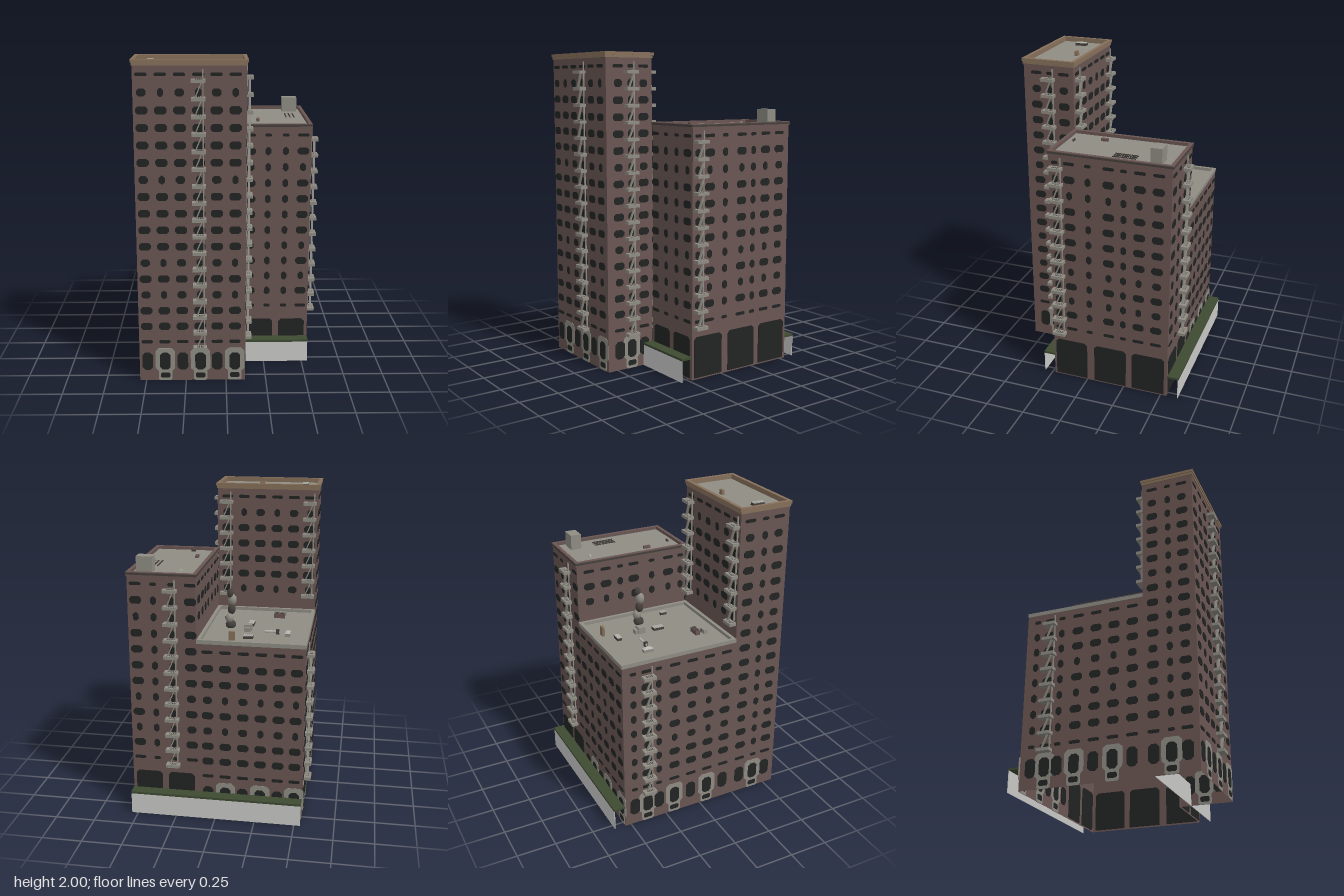
import * as THREE from 'three';
import { mergeGeometries } from 'three/addons/utils/BufferGeometryUtils.js';

const mat = (name, color, side = THREE.FrontSide) => {
  const m = new THREE.MeshStandardMaterial({ color, side });
  m.name = name;
  return m;
};

export function createModel() {
  const M = {
    brick: mat('brick', 0x6a5653, THREE.DoubleSide),
    stone: mat('stone grey', 0x8e8c83, THREE.DoubleSide),
    glass: mat('dark glass', 0x222424),
    tan: mat('tan cornice', 0x87705a),
    hedge: mat('hedge green', 0x3e4a32),
    white: mat('pale wall', 0xc9c9c8),
    trim: mat('dark trim', 0x45403d),
    metal: mat('light metal', 0xb4b4ae),
  };
  const model = new THREE.Group();
  model.name = 'towerBlock';

  const add = (parent, name, geo, material, x = 0, y = 0, z = 0) => {
    const m = new THREE.Mesh(geo, material);
    m.name = name;
    m.position.set(x, y, z);
    parent.add(m);
    return m;
  };
  const box = (parent, name, material, w, h, d, x, y, z) =>
    add(parent, name, new THREE.BoxGeometry(w, h, d), material, x, y, z);

  // Thin plate with cut corners, straddling the wall so it shows inside too
  const plate = (x, y, w, h, cut, t = 0.008, cutBottom = cut) => {
    const a = w / 2, b = h / 2, c = cut, e = cutBottom;
    const s = new THREE.Shape([[-a + e, -b], [a - e, -b], [a, -b + e], [a, b - c], [a - c, b], [-a + c, b], [-a, b - c], [-a, -b + e]]
      .map(p => new THREE.Vector2(...p)));
    return new THREE.ExtrudeGeometry(s, { depth: t, bevelEnabled: false }).translate(x, y, -t / 2);
  };

  const rowY = i => 0.365 + 0.1033 * i;
  const narrowRows = [2, 4, 9, 14];

  // One wall: local x runs along it, local z points outward
  const TURN = { front: 0, right: Math.PI / 2, back: Math.PI, left: -Math.PI / 2 };
  function wall(name, side, at, u0, u1, y0, y1, o = {}) {
    const g = new THREE.Group();
    g.name = name;
    g.rotation.y = TURN[side];
    const alongX = side === 'front' || side === 'back';
    g.position[alongX ? 'z' : 'x'] = at;
    const f = side === 'right' || side === 'back' ? -1 : 1;
    add(g, 'brickwork', new THREE.PlaneGeometry(u1 - u0, y1 - y0), M.brick, f * (u0 + u1) / 2, (y0 + y1) / 2, 0);

    const glass = [], stone = [];
    const cols = o.cols || [], narrow = o.narrow || [];
    // storeys of windows, with a slim band of vents above and below
    for (let i = o.first; i <= o.last; i++) cols.forEach((c, k) => {
      const slim = narrow.includes(k) || (narrowRows.includes(i) && k % 2 === 1);
      glass.push(plate(f * c, rowY(i), slim ? 0.036 : narrowRows.includes(i) ? 0.055 : 0.072, slim ? 0.052 : 0.046, 0.013));
    });
    (o.vents || []).forEach(y => cols.forEach((c, k) =>
      glass.push(plate(f * c, y, narrow.includes(k) ? 0.04 : 0.07, 0.02, 0.006))));
    // arched ground floor with stone surrounds
    if (o.arcade) cols.forEach((c, k) => {
      glass.push(plate(f * c, 0.13, 0.066, 0.115, 0.018));
      if (k % 2) {
        stone.push(plate(f * c, 0.14, 0.122, 0.155, 0.02, 0.005));
        stone.push(plate(f * c, 0.035, 0.085, 0.07, 0.01, 0.005));
        glass.push(plate(f * c, 0.035, 0.06, 0.034, 0.008));
      }
    });
    // large shop openings: [from, to, bottom]
    (o.shops || []).forEach(([a, b, bottom]) =>
      glass.push(plate(f * (a + b) / 2, (bottom + 0.27) / 2, b - a, 0.27 - bottom, 0.018, 0.008, 0.003)));
    if (glass.length) add(g, 'windows', mergeGeometries(glass), M.glass);
    if (stone.length) add(g, 'stoneSurrounds', mergeGeometries(stone), M.stone);

    // fire escapes: [centre, lowest storey, highest storey]
    (o.escapes || []).forEach(([c, lo, hi]) => {
      const e = new THREE.Group();
      e.name = 'fireEscape';
      e.position.x = f * c;
      g.add(e);
      for (let i = lo; i <= hi; i++) {
        const y = 0.33 + 0.1033 * i;
        box(e, 'platform', M.stone, 0.084, 0.02, 0.045, 0, y, 0.0225);
        box(e, 'hatch', M.trim, 0.044, 0.002, 0.02, 0.005, y + 0.0105, 0.023);
        for (let k = 0; k < 4; k++) box(e, 'tread', M.stone, 0.005, 0.004, 0.022, -0.01 + k * 0.011, y + 0.0115, 0.023);
        if (i < hi) box(e, 'stair', M.stone, 0.007, 0.1, 0.014, 0, y + 0.052, 0.023).rotation.z = -0.4;
      }
      const yA = 0.33 + 0.1033 * lo, yB = 0.33 + 0.1033 * hi;
      box(e, 'pole', M.stone, 0.008, yB - yA + 0.07, 0.008, 0.027, (yA + yB) / 2 + 0.03, 0.008);
    });
    model.add(g);
  }

  const frontCols = [-0.49, -0.38, -0.27, -0.16, -0.055, 0.055];
  const backCols = [0.055, -0.055, -0.165, -0.275, -0.385, -0.49];
  const wideB = [0.155, 0.27, 0.38, 0.49];
  const sideB = [0.19, 0.1, -0.02, -0.15, -0.245, -0.345, -0.46];
  const tall = { first: 0, last: 14, vents: [0.262, 1.915], arcade: true };
  const mid = { first: 1, last: 10, vents: [0.365, 1.5] };

  // Tall front tower
  wall('tallTowerFront', 'front', 0.57, -0.54, 0.12, 0, 1.97, { ...tall, cols: frontCols, escapes: [[-0.16, -1, 15]] });
  wall('tallTowerRight', 'right', 0.12, 0.235, 0.57, 0, 1.97, { ...tall, cols: [0.485, 0.395, 0.3], narrow: [1], escapes: [[0.4, -1, 15]] });
  wall('tallTowerLeft', 'left', -0.54, 0.235, 0.57, 0, 1.97, { ...tall, cols: [0.5, 0.405, 0.3], narrow: [1] });
  wall('tallTowerBack', 'back', 0.235, -0.54, 0.12, 1.1, 1.97, { cols: backCols, first: 9, last: 14, vents: [1.915], escapes: [[-0.49, 9, 15], [0.06, 9, 15]] });

  // Middle tower
  wall('middleTowerFront', 'front', 0.23, 0.12, 0.54, 0, 1.56, { ...mid, cols: wideB, narrow: [1, 2], shops: [[0.14, 0.31, 0.01], [0.35, 0.52, 0.01]] });
  wall('middleTowerRight', 'right', 0.54, -0.54, 0.23, 0, 1.56, {
    ...mid, cols: sideB, narrow: [0, 2, 4], shops: [[0, 0.215, 0.01], [-0.265, -0.05, 0.01], [-0.52, -0.305, 0.01]], escapes: [[0.18, 0, 11]] });
  wall('middleTowerBack', 'back', -0.54, 0.12, 0.54, 0, 1.56, { ...mid, cols: wideB, narrow: [1, 2], shops: [[0.14, 0.31, 0.01], [0.35, 0.52, 0.01]], escapes: [[0.275, 0, 11]] });
  wall('middleTowerLeft', 'left', 0.12, -0.54, 0.23, 1.1, 1.56, { cols: sideB, narrow: [0, 2, 4], first: 9, last: 10, vents: [1.5] });

  // Low rear block
  const low = { first: 0, last: 6, vents: [0.262, 1.09], arcade: true };
  wall('lowBlockBack', 'back', -0.54, -0.54, 0.12, 0, 1.15, { ...low, cols: backCols });
  wall('lowBlockLeft', 'left', -0.54, -0.54, 0.235, 0, 1.15, { ...low, cols: [0.17, 0.05, -0.07, -0.19, -0.3, -0.38, -0.47], narrow: [4, 6], escapes: [[-0.375, -1, 7]] });

  // Roofs and rims
  const rim = (name, material, x0, x1, z0, z1, y0, y1, t) => {
    const rect = (C, a, b, c, d) => new C([[a, c], [b, c], [b, d], [a, d]].map(p => new THREE.Vector2(...p)));
    const s = rect(THREE.Shape, x0, x1, -z1, -z0);
    s.holes.push(rect(THREE.Path, x0 + t, x1 - t, -z1 + t, -z0 - t));
    add(model, name, new THREE.ExtrudeGeometry(s, { depth: y1 - y0, bevelEnabled: false }).rotateX(-Math.PI / 2), material, 0, y0, 0);
  };
  box(model, 'tallRoof', M.stone, 0.65, 0.01, 0.325, -0.21, 1.965, 0.4025);
  rim('tallCorniceLower', M.tan, -0.545, 0.125, 0.23, 0.575, 1.965, 1.982, 0.018);
  rim('tallCornice', M.tan, -0.55, 0.13, 0.225, 0.58, 1.982, 2, 0.023);
  box(model, 'middleRoof', M.stone, 0.41, 0.01, 0.76, 0.33, 1.545, -0.155);
  rim('middleParapet', M.brick, 0.116, 0.544, -0.546, 0.236, 1.545, 1.57, 0.022);
  rim('middleParapetBand', M.trim, 0.114, 0.546, -0.548, 0.238, 1.553, 1.566, 0.006);
  box(model, 'lowRoof', M.stone, 0.65, 0.01, 0.765, -0.21, 1.14, -0.1525);
  rim('lowParapet', M.stone, -0.543, 0.12, -0.543, 0.235, 1.14, 1.165, 0.022);

  // Hedges on pale garden walls
  box(model, 'backHedge', M.hedge, 1.08, 0.014, 0.075, 0, 0.143, -0.5785);
  box(model, 'backGardenWall', M.white, 1.08, 0.136, 0.004, 0, 0.068, -0.612);
  box(model, 'frontHedge', M.hedge, 0.42, 0.014, 0.075, 0.33, 0.143, 0.2685);
  box(model, 'frontGardenWall', M.white, 1.07, 0.136, 0.004, 0.003, 0.068, 0.304);

  // Skylight: a raised frame with light bars
  const skylight = (x, y, z, w, d) => {
    box(model, 'skylight', M.trim, w, 0.016, d, x, y + 0.008, z);
    const n = 5, lengthwise = d > w;
    for (let i = 0; i < n; i++) {
      const o = (i + 0.5) / n - 0.5;
      box(model, 'skylightBar', M.metal, lengthwise ? w : w / n * 0.75, 0.004, lengthwise ? d / n * 0.75 : d,
        x + (lengthwise ? 0 : o * w), y + 0.018, z + (lengthwise ? o * d : 0));
    }
  };

  // Tall roof fittings
  skylight(-0.445, 1.97, 0.405, 0.035, 0.075);
  box(model, 'chimney', M.tan, 0.034, 0.036, 0.018, -0.165, 1.982, 0.325);

  // Middle roof fittings
  box(model, 'liftHouse', M.stone, 0.1, 0.1, 0.07, 0.45, 1.598, -0.428);
  for (let i = 0; i < 9; i++)
    box(model, 'ventSlot', M.trim, 0.006, 0.008, 0.045, 0.41 + (i % 3) * 0.026, 1.553, -0.27 + Math.floor(i / 3) * 0.05);
  box(model, 'roofHatch', M.metal, 0.014, 0.012, 0.014, 0.237, 1.555, -0.4);
  box(model, 'brickVent', M.brick, 0.02, 0.018, 0.045, 0.215, 1.558, -0.008);
  box(model, 'smallVent', M.trim, 0.03, 0.012, 0.01, 0.275, 1.555, 0.173);

  // Low roof fittings
  const R = 1.145;
  skylight(-0.175, R, -0.4, 0.06, 0.03);
  skylight(-0.16, R, -0.115, 0.035, 0.07);
  skylight(0.025, R, 0.015, 0.022, 0.042);
  box(model, 'lowChimney', M.tan, 0.038, 0.06, 0.016, -0.085, R + 0.03, -0.465);
  box(model, 'hutBody', M.stone, 0.032, 0.02, 0.064, -0.41, R + 0.01, -0.308);
  add(model, 'hutRoof', new THREE.ConeGeometry(0.7071, 1, 4).rotateY(Math.PI / 4), M.metal, -0.41, R + 0.028, -0.308).scale.set(0.034, 0.016, 0.066);
  const duct = add(model, 'duct', new THREE.CylinderGeometry(0.008, 0.008, 0.09, 8), M.metal, -0.31, R + 0.016, -0.29);
  duct.rotation.z = Math.PI / 2;
  box(model, 'ductBase', M.trim, 0.02, 0.03, 0.02, -0.345, R + 0.015, -0.29);
  box(model, 'airUnit', M.stone, 0.05, 0.04, 0.045, -0.152, R + 0.02, -0.233);
  box(model, 'airUnitIntake', M.stone, 0.036, 0.026, 0.026, -0.152, R + 0.013, -0.265);
  box(model, 'fanUnit', M.brick, 0.07, 0.03, 0.03, -0.32, R + 0.015, 0.07);
  for (const x of [-0.337, -0.303])
    add(model, 'fan', new THREE.CylinderGeometry(0.012, 0.012, 0.004, 12), M.trim, x, R + 0.032, 0.07);
  box(model, 'ventBox', M.stone, 0.042, 0.025, 0.025, -0.337, R + 0.0125, 0.123);
  box(model, 'ventMouth', M.trim, 0.012, 0.02, 0.027, -0.32, R + 0.012, 0.123);

  // Rough leaning stack on the low roof, built from tapered lumps
  const stack = new THREE.Group();
  stack.name = 'roughStack';
  stack.position.set(-0.035, R, -0.19);
  model.add(stack);
  [[0, 0.02, 0.034, 0.03], [0.008, 0.065, 0.028, 0.032], [-0.004, 0.12, 0.026, 0.036], [-0.008, 0.18, 0.028, 0.038], [0.004, 0.225, 0.02, 0.03]]
    .forEach(([x, y, r, h], i) => {
      const lump = add(stack, 'stackLump', new THREE.IcosahedronGeometry(1, 1), i % 2 ? M.stone : M.trim, x, y, -x);
      lump.scale.set(r, h, r);
      lump.rotation.y = i;
    });

  return model;
}
